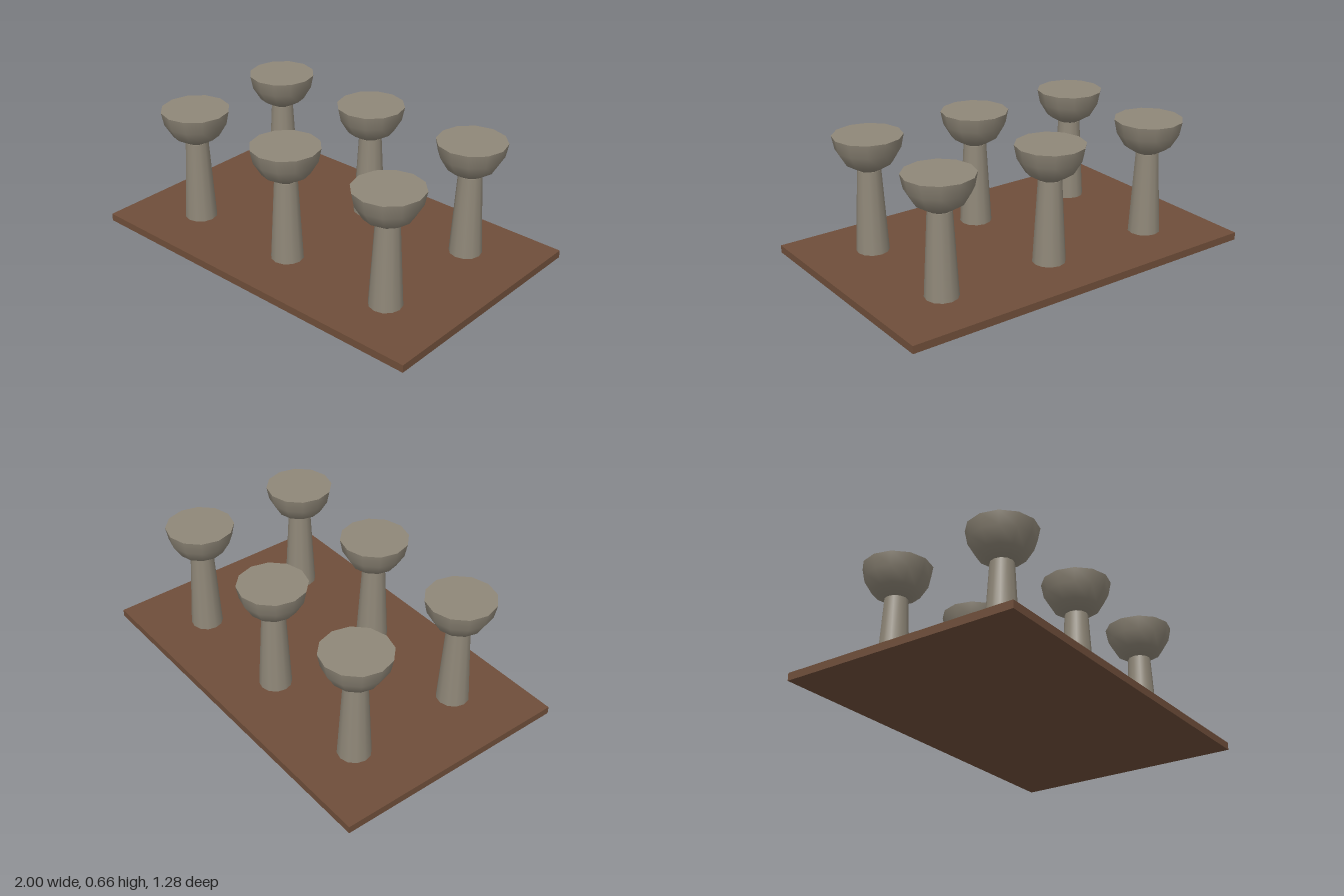
import * as THREE from 'three';

const wood = new THREE.MeshStandardMaterial({ name: 'brown wood', color: 0x6f4e3a });
const stone = new THREE.MeshStandardMaterial({ name: 'grey stone', color: 0x8f8778 });

const SIDES = 12;
const SLAB_TOP = 0.04;
const NECK = 0.48;
const RIM = 0.66;

function part(name, geometry, material, y = 0) {
  const mesh = new THREE.Mesh(geometry, material);
  mesh.name = name;
  mesh.position.y = y;
  return mesh;
}

// Tapered column carrying a rounded bowl with a flat top
function createPedestal() {
  const pedestal = new THREE.Group();
  pedestal.name = 'pedestal';

  const height = NECK - SLAB_TOP;
  const column = new THREE.CylinderGeometry(0.06, 0.085, height, SIDES);
  pedestal.add(part('column', column, stone, SLAB_TOP + height / 2));

  const profile = [[0, 0.48], [0.06, 0.482], [0.122, 0.52], [0.164, 0.59], [0.178, RIM]]
    .map(([r, y]) => new THREE.Vector2(r, y));
  pedestal.add(part('bowl', new THREE.LatheGeometry(profile, SIDES), stone));

  // Flat lid closing the bowl at its rim
  const lid = new THREE.CircleGeometry(0.178, SIDES).rotateX(-Math.PI / 2);
  pedestal.add(part('bowlTop', lid, stone, RIM));
  return pedestal;
}

export function createModel() {
  const model = new THREE.Group();
  model.name = 'pedestalBoard';

  // Flat base board
  model.add(part('baseBoard', new THREE.BoxGeometry(2, SLAB_TOP, 1.28), wood, SLAB_TOP / 2));

  // Two rows of three pedestals
  for (const z of [-0.32, 0.32]) {
    for (const x of [-0.64, 0, 0.64]) {
      const pedestal = createPedestal();
      pedestal.position.set(x, 0, z);
      model.add(pedestal);
    }
  }
  return model;
}
